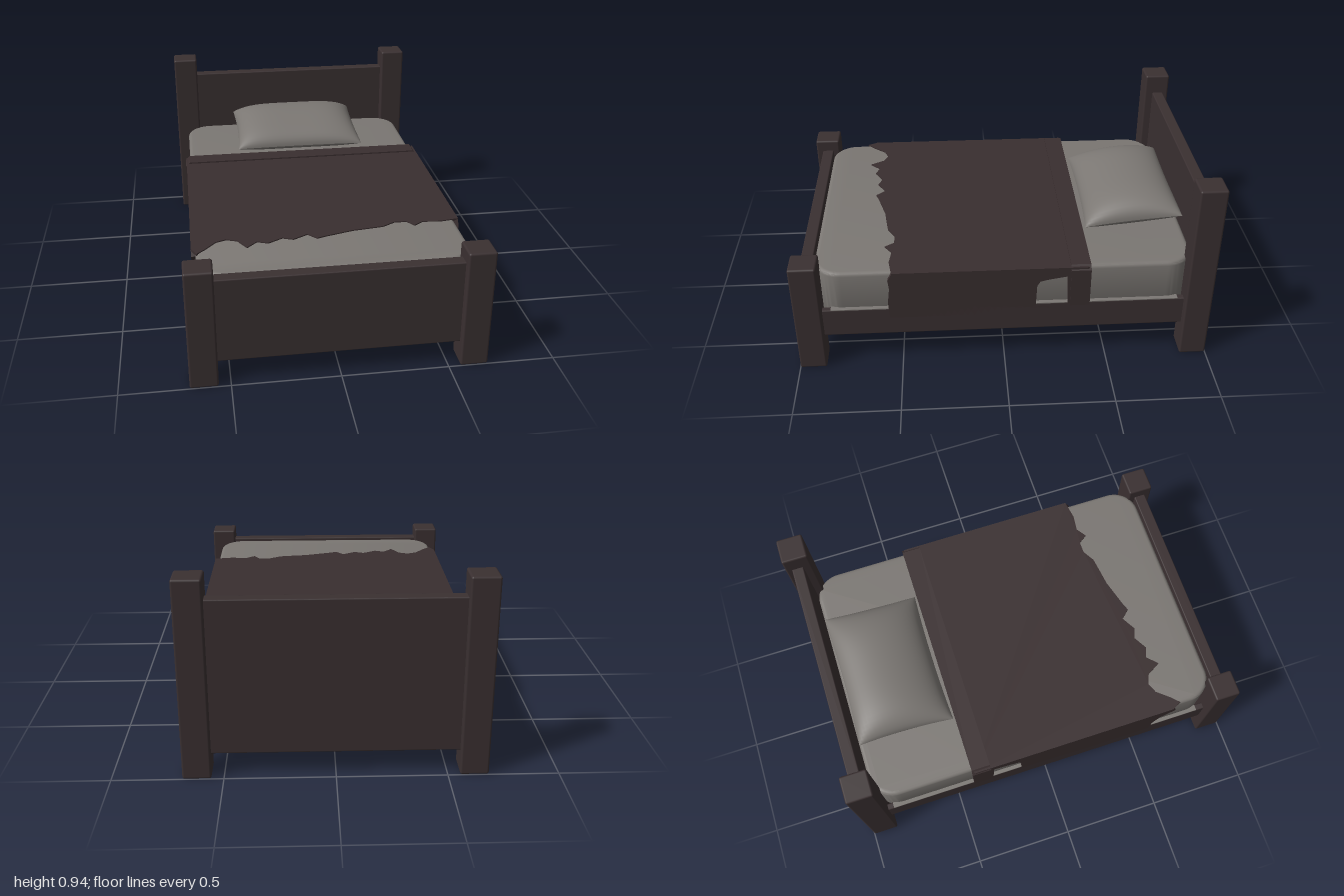
import * as THREE from 'three';
import { RoundedBoxGeometry } from 'three/addons/geometries/RoundedBoxGeometry.js';
import { mergeVertices, toCreasedNormals } from 'three/addons/utils/BufferGeometryUtils.js';

export function createModel() {
  const bed = new THREE.Group();
  bed.name = 'bed';
  const mat = (name, color) => {
    const m = new THREE.MeshStandardMaterial({ color });
    m.name = name;
    return m;
  };
  const wood = mat('dark wood', 0x3a3031);
  const cloth = mat('dark blanket', 0x392e2f);
  const linen = mat('grey linen', 0x7b7773);

  const add = (name, geometry, material) => {
    const mesh = new THREE.Mesh(geometry, material);
    mesh.name = name;
    bed.add(mesh);
    return mesh;
  };
  // Box given by its limits on each axis
  const box = (name, x0, x1, y0, y1, z0, z1, material, r = 0.006) => {
    const g = new RoundedBoxGeometry(x1 - x0, y1 - y0, z1 - z0, 2, r);
    add(name, g, material).position.set((x0 + x1) / 2, (y0 + y1) / 2, (z0 + z1) / 2);
  };
  const polygon = (pts) => new THREE.Shape(pts.map(([a, b]) => new THREE.Vector2(a, b)));

  // Wooden frame: posts, side rails, boards
  for (const s of [-1, 1]) {
    const c = s * 0.62;
    box('headPost', c - 0.065, c + 0.065, 0, 0.94, -1, -0.87, wood, 0.01);
    box('footPost', c - 0.065, c + 0.065, 0, 0.585, 0.87, 1, wood, 0.01);
    box('sideRail', s * 0.629 - 0.016, s * 0.629 + 0.016, 0.165, 0.315, -0.89, 0.89, wood);
    // Linen edge resting on the rail
    box('sheetEdge', s * 0.629 - 0.015, s * 0.629 + 0.015, 0.31, 0.318, -0.84, 0.83, linen, 0.002);
  }
  box('headboard', -0.57, 0.57, 0.11, 0.84, -0.97, -0.912, wood);
  box('footboard', -0.57, 0.57, 0.11, 0.525, 0.905, 0.965, wood);

  // Mattress with round corners and softened edges
  const bevel = 0.02, hx = 0.625 - bevel, z0 = -0.91 + bevel, z1 = 0.9 - bevel, r = 0.11;
  const plan = new THREE.Shape();
  plan.absarc(hx - r, z1 - r, r, 0, Math.PI / 2);
  plan.absarc(-hx + r, z1 - r, r, Math.PI / 2, Math.PI);
  plan.absarc(-hx + r, z0 + r, r, Math.PI, Math.PI * 1.5);
  plan.absarc(hx - r, z0 + r, r, Math.PI * 1.5, Math.PI * 2);
  plan.closePath();
  const mattress = new THREE.ExtrudeGeometry(plan, {
    depth: 0.275 - 2 * bevel, bevelSize: bevel, bevelThickness: bevel, bevelSegments: 4, curveSegments: 10,
  });
  mattress.rotateX(Math.PI / 2);
  mattress.translate(0, 0.515 - bevel, 0);
  add('mattress', toCreasedNormals(mattress, 0.7), linen);

  // Blanket top with a torn foot edge (x, z)
  const tear = [
    [-0.645, 0.66], [-0.62, 0.71], [-0.58, 0.67], [-0.53, 0.61], [-0.48, 0.59], [-0.43, 0.61],
    [-0.39, 0.68], [-0.34, 0.63], [-0.29, 0.65], [-0.22, 0.61], [-0.17, 0.63], [-0.1, 0.59],
    [-0.06, 0.635], [-0.02, 0.62], [0.05, 0.6], [0.12, 0.58], [0.2, 0.57], [0.27, 0.56],
    [0.33, 0.525], [0.39, 0.525], [0.42, 0.57], [0.47, 0.535], [0.55, 0.545], [0.645, 0.53],
  ];
  const top = new THREE.ExtrudeGeometry(polygon([...tear, [0.645, -0.4], [-0.645, -0.4]]), {
    depth: 0.012, bevelEnabled: false,
  });
  top.rotateX(Math.PI / 2);
  top.translate(0, 0.52, 0);
  add('blanketTop', top, cloth);

  // Blanket sides hanging to the rail, each with a torn hole (z, y)
  for (const s of [-1, 1]) {
    const foot = s < 0
      ? [[0.56, 0.26], [0.57, 0.36], [0.6, 0.43], [0.64, 0.46], [0.68, 0.49], [0.66, 0.515]]
      : [[0.55, 0.26], [0.555, 0.35], [0.545, 0.43], [0.55, 0.48], [0.53, 0.515]];
    const side = polygon([[-0.36, 0.26], ...foot, [-0.36, 0.515]]);
    side.holes.push(new THREE.Path(
      [[-0.15, 0.3], [-0.155, 0.42], [-0.17, 0.445], [-0.21, 0.455], [-0.3, 0.47], [-0.305, 0.3]]
        .map(([z, y]) => new THREE.Vector2(z, y))));
    const g = new THREE.ExtrudeGeometry(side, { depth: 0.025, bevelEnabled: false });
    g.rotateY(-Math.PI / 2);
    g.translate(s > 0 ? 0.645 : -0.62, 0, 0);
    add('blanketSide', g, cloth);
  }

  // Folded-over band at the head end of the blanket
  const band = polygon([
    [-0.65, 0.3], [-0.65, 0.505], [-0.628, 0.527], [0.628, 0.527], [0.65, 0.505], [0.65, 0.3],
    [0.615, 0.3], [0.615, 0.5], [-0.615, 0.5], [-0.615, 0.3],
  ]);
  const fold = new THREE.ExtrudeGeometry(band, { depth: 0.095, bevelEnabled: false });
  fold.translate(0, 0, -0.41);
  add('blanketFold', fold, cloth);

  // Pillow: two bulging sheets meeting at a seam, tilted up toward the headboard
  const sheet = (thickness) => {
    const g = new THREE.PlaneGeometry(2, 2, 28, 24);
    g.rotateX(-Math.PI / 2);
    const p = g.attributes.position;
    for (let i = 0; i < p.count; i++) {
      const u = p.getX(i), v = p.getZ(i);
      const a = Math.sin(u * Math.PI / 2), b = Math.sin(v * Math.PI / 2);
      const puff = Math.sqrt(Math.max(0, (1 - a ** 4) * (1 - b * b)));
      p.setXYZ(i,
        0.35 * a * (1 - 0.03 * (1 - b * b)),
        0.572 - 0.025 * b + thickness * puff,
        -0.66 + 0.24 * b * (1 - 0.04 * (1 - a * a)));
    }
    if (thickness < 0) g.index.array.reverse();
    g.deleteAttribute('uv');
    g.deleteAttribute('normal');
    const merged = mergeVertices(g);
    merged.computeVertexNormals();
    return merged;
  };
  add('pillowTop', sheet(0.112), linen);
  add('pillowBottom', sheet(-0.055), linen);

  return bed;
}
